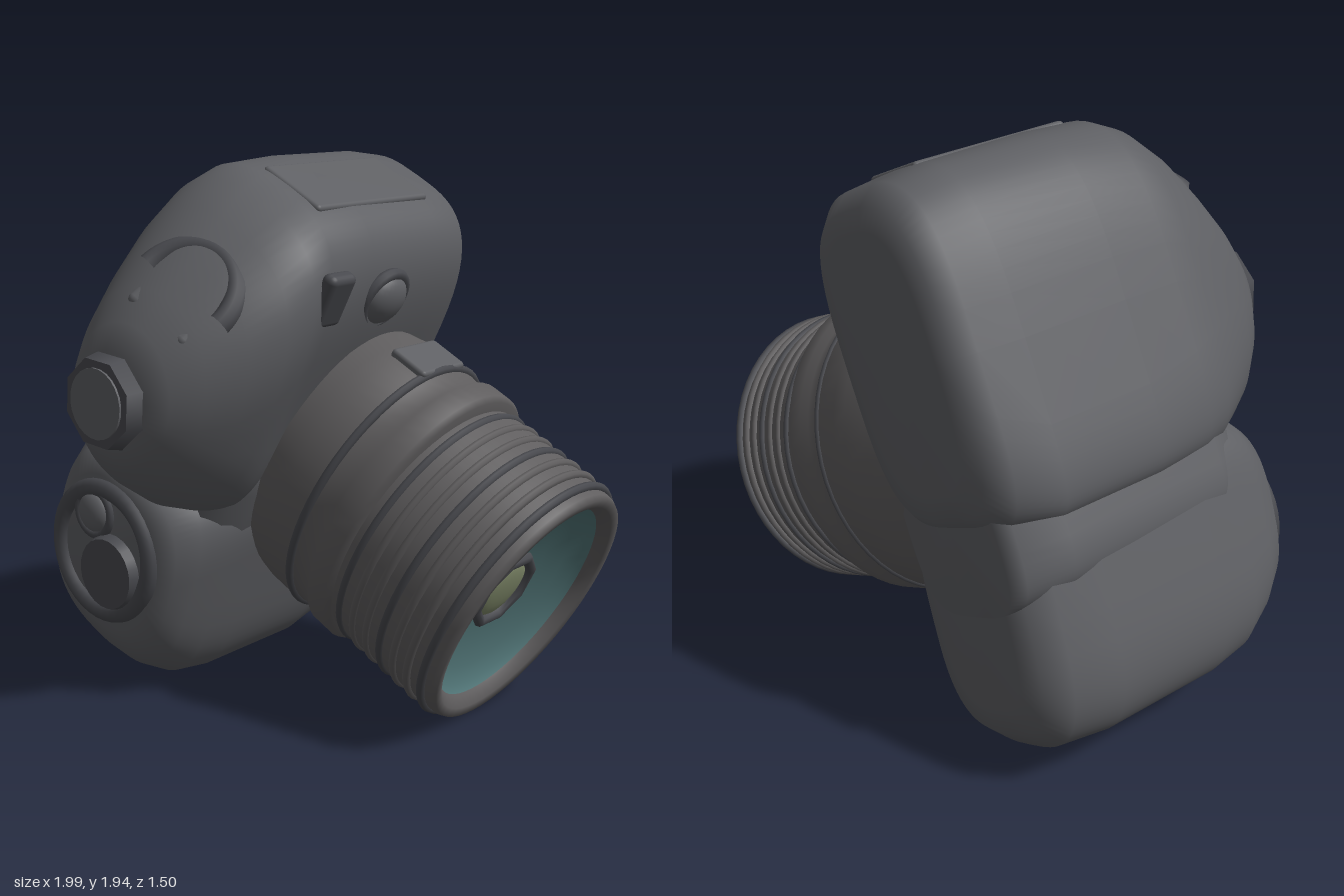
import * as THREE from 'three';
import { RoundedBoxGeometry } from 'three/addons/geometries/RoundedBoxGeometry.js';

const mat = (color, side = THREE.FrontSide) => new THREE.MeshStandardMaterial({ color, side });
const BODY = mat(0x5e5f63), DARK = mat(0x48494e), BARREL = mat(0x5f5d5e);
const TEAL = mat(0x557a7c, THREE.DoubleSide), GLASS = mat(0x86906f);

// Skin over superellipse sections [z, cx, cy, rx, ry, upper exponent, lower exponent],
// stacked along z and leaning sideways by skew
function loft(sections, skew = 0, n = 64) {
  const pos = [], idx = [];
  for (const [z, cx, cy, rx, ry, top, bottom] of sections) {
    for (let j = 0; j < n; j++) {
      const a = (j / n) * Math.PI * 2, c = Math.cos(a), s = Math.sin(a), e = 2 / (s > 0 ? top : bottom);
      const y = ry * Math.sign(s) * Math.abs(s) ** e;
      pos.push(cx + rx * Math.sign(c) * Math.abs(c) ** e + skew * y, cy + y, z);
    }
  }
  const last = sections.length - 1;
  for (let i = 0; i < last; i++) {
    for (let j = 0; j < n; j++) {
      const k = (j + 1) % n, a = i * n + j, b = i * n + k, c = b + n, d = a + n;
      idx.push(a, b, c, a, c, d);
    }
  }
  // End caps
  for (const i of [0, last]) {
    const centre = pos.length / 3, [z, cx, cy] = sections[i];
    pos.push(cx, cy, z);
    for (let j = 0; j < n; j++) {
      const a = i * n + j, b = i * n + (j + 1) % n;
      if (i) idx.push(centre, a, b); else idx.push(centre, b, a);
    }
  }
  const g = new THREE.BufferGeometry();
  g.setAttribute('position', new THREE.Float32BufferAttribute(pos, 3));
  g.setIndex(idx);
  g.computeVertexNormals();
  return g;
}

// Revolve [radius, x] points about the lens axis, taller than wide
function turned(points, tall) {
  const g = new THREE.LatheGeometry(points.map(([r, x]) => new THREE.Vector2(r, x)), 56);
  return g.rotateZ(-Math.PI / 2).scale(1, tall, 1);
}

// Ring round the lens axis
const ring = (r, tube, tall) => new THREE.TorusGeometry(r, tube, 8, 56).rotateY(Math.PI / 2).scale(1, tall, 1);

export function createModel() {
  const model = new THREE.Group();
  model.name = 'camera';
  const tilt = new THREE.Group();
  tilt.name = 'tiltedCamera';
  tilt.rotation.z = -0.472;
  model.add(tilt);
  const add = (name, geometry, material, x = 0, y = 0, z = 0, parent = tilt) => {
    const m = new THREE.Mesh(geometry, material);
    m.name = name;
    m.position.set(x, y, z);
    parent.add(m);
    return m;
  };

  // Main body flowing up into the viewfinder hump
  add('bodyAndHump', loft([
    [-0.735, -0.86, 1.1, 0.24, 0.42, 3, 3],
    [-0.72, -0.86, 1.09, 0.31, 0.5, 3.1, 3.5],
    [-0.66, -0.865, 1.09, 0.36, 0.56, 3.2, 4.5],
    [-0.5, -0.865, 1.085, 0.378, 0.585, 3.2, 6],
    [-0.1, -0.86, 1.085, 0.385, 0.59, 3.2, 6],
    [0.12, -0.85, 1.08, 0.395, 0.585, 3.1, 5],
    [0.22, -0.83, 1.06, 0.41, 0.565, 3, 4],
    [0.33, -0.805, 1.03, 0.405, 0.52, 2.7, 3],
    [0.45, -0.785, 0.99, 0.365, 0.45, 2.4, 2.5],
    [0.56, -0.775, 0.965, 0.3, 0.355, 2.2, 2.2],
    [0.64, -0.77, 0.955, 0.23, 0.26, 2, 2],
    [0.68, -0.77, 0.95, 0.16, 0.17, 2, 2],
  ]), BODY);

  // Hand grip end of the body, leaning back towards the hump
  add('grip', loft([
    [-0.68, -0.76, 0.21, 0.2, 0.28, 3, 2.8],
    [-0.66, -0.76, 0.2, 0.28, 0.36, 4, 2.9],
    [-0.58, -0.76, 0.185, 0.335, 0.425, 5, 3],
    [-0.4, -0.76, 0.18, 0.365, 0.445, 6, 3.1],
    [0.05, -0.76, 0.18, 0.373, 0.45, 6, 3.1],
    [0.2, -0.76, 0.185, 0.368, 0.435, 5, 3],
    [0.32, -0.757, 0.2, 0.345, 0.39, 4, 2.8],
    [0.4, -0.755, 0.21, 0.315, 0.335, 3, 2.6],
    [0.44, -0.76, 0.225, 0.25, 0.27, 2.4, 2.4],
  ], -0.12), BODY);

  // Recessed waist joining the two halves
  add('waist', loft([
    [-0.69, -0.81, 0.56, 0.25, 0.3, 4, 4],
    [-0.66, -0.81, 0.56, 0.31, 0.3, 4, 4],
    [-0.5, -0.81, 0.56, 0.36, 0.3, 4, 4],
    [0.15, -0.805, 0.56, 0.365, 0.3, 4, 4],
    [0.24, -0.8, 0.56, 0.33, 0.28, 4, 4],
    [0.31, -0.79, 0.55, 0.27, 0.25, 3, 3],
  ]), BODY);

  // Button on the crown of the hump
  add('crownButton', new THREE.CylinderGeometry(0.155, 0.175, 0.1, 8).rotateX(Math.PI / 2), DARK, -0.77, 0.95, 0.69);
  add('crownButtonCap', new THREE.CylinderGeometry(0.12, 0.12, 0.02, 24).rotateX(Math.PI / 2), BODY, -0.77, 0.95, 0.738);

  // Arched accessory mount on the sloping side of the hump
  const mount = new THREE.Group();
  mount.name = 'accessoryMount';
  mount.position.set(-0.78, 1.31, 0.5);
  mount.rotation.x = -0.78;
  tilt.add(mount);
  add('mountPlate', new RoundedBoxGeometry(0.3, 0.28, 0.06, 3, 0.028), BODY, 0, 0.02, 0, mount);
  add('mountArch', new THREE.TorusGeometry(0.18, 0.04, 10, 32, Math.PI), DARK, 0, 0.02, 0.015, mount);

  // Dial and release on the grip
  add('dialRim', new THREE.TorusGeometry(0.235, 0.04, 10, 40), DARK, -0.77, 0.225, 0.425);
  add('dial', new THREE.CylinderGeometry(0.13, 0.15, 0.05, 24).rotateX(Math.PI / 2), DARK, -0.7, 0.18, 0.45);
  add('releaseButton', new THREE.SphereGeometry(0.075, 20, 12).scale(1, 1, 0.5), BODY, -0.87, 0.33, 0.44);
  add('releaseCollar', new THREE.TorusGeometry(0.085, 0.02, 8, 24), DARK, -0.87, 0.33, 0.435);

  // Controls beside the lens
  add('lampWindow', new RoundedBoxGeometry(0.06, 0.2, 0.13, 3, 0.025), DARK, -0.49, 1.45, 0.12);
  add('frontKnob', new THREE.SphereGeometry(0.1, 24, 14).scale(0.6, 0.95, 1), BODY, -0.505, 1.4, -0.2);
  add('knobCollar', new THREE.TorusGeometry(0.1, 0.022, 8, 28).rotateY(Math.PI / 2), DARK, -0.505, 1.4, -0.2);

  // Side door, nearly flush with the end of the body
  add('sideDoor', new RoundedBoxGeometry(0.28, 0.04, 0.6, 3, 0.015), BODY, -0.84, 1.654, -0.22);

  // Lens, with its axis along local x
  const lens = new THREE.Group();
  lens.name = 'lens';
  lens.position.set(0, 0.745, -0.288);
  tilt.add(lens);
  add('lensBase', turned([
    [0.4, -0.64], [0.435, -0.5], [0.452, -0.4], [0.46, -0.34], [0.46, -0.22], [0.448, -0.2], [0.448, -0.13],
    [0.468, -0.11], [0.468, -0.03], [0.455, -0.01], [0.4, 0.0],
  ], 1.17), BARREL, 0, 0, 0, lens);
  add('lensBarrel', turned([
    [0.45, -0.03], [0.455, 0.02], [0.452, 0.3], [0.447, 0.42], [0.445, 0.465],
    [0.435, 0.485], [0.405, 0.48], [0.38, 0.45], [0.37, 0.43],
  ], 1.1), BARREL, 0, 0, 0, lens);

  // Grip ribs round the barrel
  for (let i = 0; i < 7; i++) {
    add('lensRib', ring(0.449, 0.016, 1.1), i % 3 ? BARREL : DARK, 0.03 + i * 0.066, 0, 0, lens);
  }
  add('mountRing', ring(0.452, 0.016, 1.17), DARK, -0.22, 0, 0, lens);

  // Raised window on the lens scale
  add('scaleWindow', new RoundedBoxGeometry(0.16, 0.04, 0.24, 2, 0.015), BODY, -0.29, 0.525, 0, lens);

  // Hollow front with coated glass
  add('frontFunnel', turned([[0.375, 0.44], [0.355, 0.42], [0.3, 0.39], [0.2, 0.365], [0.1, 0.355], [0, 0.355]], 1.1), TEAL, 0, 0, 0, lens);
  add('innerRing', new THREE.TorusGeometry(0.14, 0.022, 8, 8).rotateZ(Math.PI / 8).rotateY(Math.PI / 2), DARK, 0.363, 0, 0, lens);
  add('innerGlass', new THREE.SphereGeometry(0.12, 24, 12).scale(0.2, 1, 1), GLASS, 0.355, 0, 0, lens);

  return model;
}
